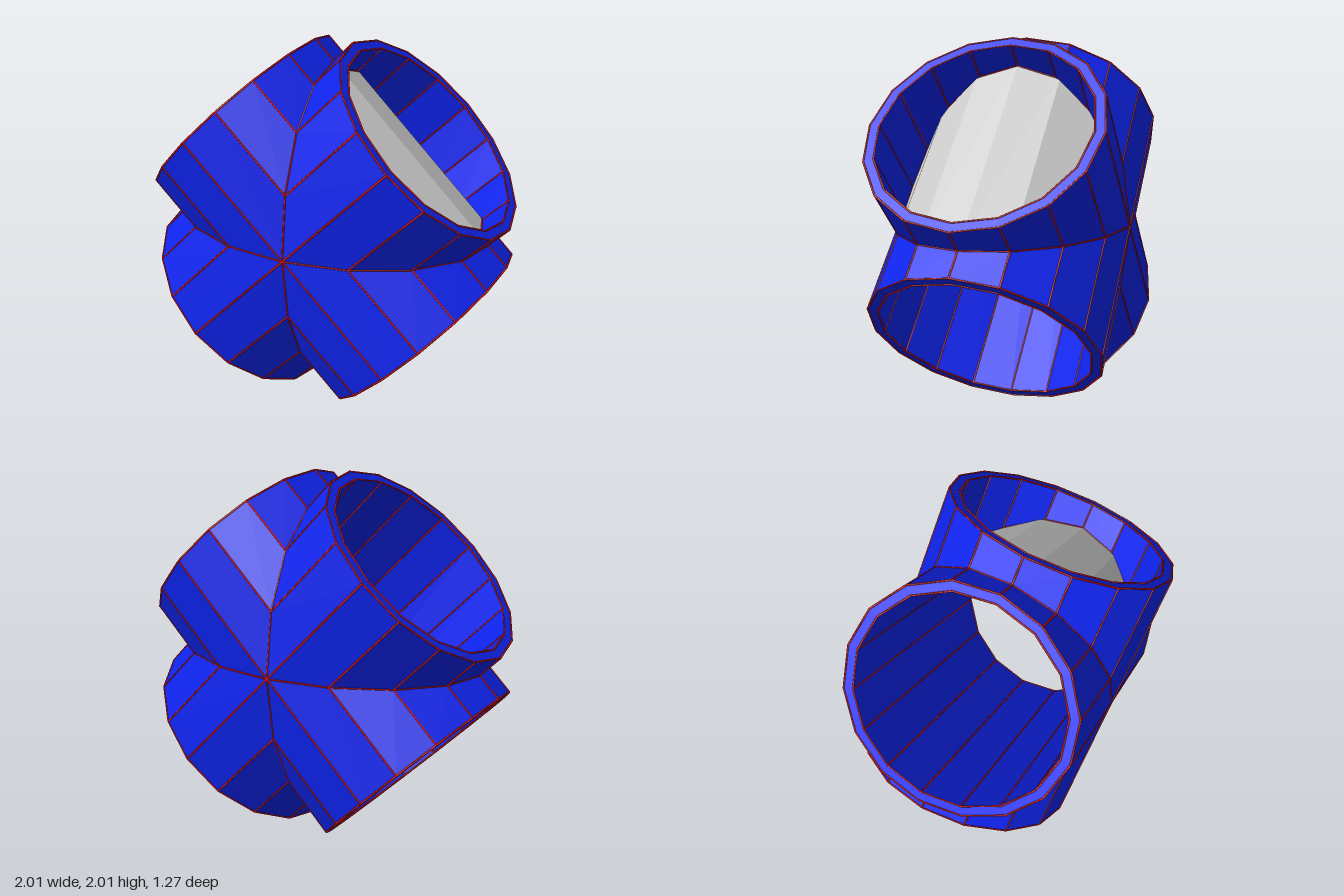
import * as THREE from 'three';
import { mergeGeometries } from 'three/addons/utils/BufferGeometryUtils.js';

const SIDES = 16, STEP = (Math.PI * 2) / SIDES;
const R = 0.63, BORE = 0.575, L = 0.784; // outer radius, bore radius, arm length
const LINE = 0.005;

const blue = new THREE.MeshStandardMaterial({ color: 0x0e23ec, flatShading: true });
const grey = new THREE.MeshStandardMaterial({ color: 0xcccccc, flatShading: true });
const red = new THREE.MeshStandardMaterial({ color: 0xdd1414 });

// point on a pipe running along x
const point = (r, i, u) => new THREE.Vector3(u, r * Math.cos(i * STEP), r * Math.sin(i * STEP));

// height of the faceted outer pipe above its axis at depth z
function pipeHeight(z) {
  const a = Math.min(Math.floor(Math.asin(Math.min(Math.abs(z) / R, 1)) / STEP), SIDES / 4 - 1);
  const z0 = R * Math.sin(a * STEP), z1 = R * Math.sin((a + 1) * STEP);
  const t = (Math.abs(z) - z0) / (z1 - z0);
  return R * THREE.MathUtils.lerp(Math.cos(a * STEP), Math.cos((a + 1) * STEP), t);
}

const mitre = i => Math.abs(R * Math.cos(i * STEP));
const saddle = i => pipeHeight(BORE * Math.sin(i * STEP));
const end = () => L;

// faceted wall whose start and end vary around the pipe
function wall(r, from, to, inward) {
  const pos = [];
  for (let i = 0; i < SIDES; i++) {
    const a = point(r, i, from(i)), b = point(r, i + 1, from(i + 1));
    const c = point(r, i + 1, to(i + 1)), d = point(r, i, to(i));
    const tris = inward ? [a, c, b, a, d, c] : [a, b, c, a, c, d];
    tris.forEach(p => pos.push(p.x, p.y, p.z));
  }
  const g = new THREE.BufferGeometry();
  g.setAttribute('position', new THREE.Float32BufferAttribute(pos, 3));
  g.computeVertexNormals();
  return g;
}

// thin rod between two points
function rod(a, b) {
  const dir = b.clone().sub(a), len = dir.length();
  const g = new THREE.CylinderGeometry(LINE, LINE, len, 4, 1, true);
  g.applyQuaternion(new THREE.Quaternion().setFromUnitVectors(new THREE.Vector3(0, 1, 0), dir.normalize()));
  return g.translate((a.x + b.x) / 2, (a.y + b.y) / 2, (a.z + b.z) / 2);
}

// lengthwise lines plus the loops at both ends of a wall
function edgeLines(r, from, to) {
  const rods = [];
  for (let i = 0; i < SIDES; i++) {
    rods.push(rod(point(r, i, from(i)), point(r, i, to(i))));
    for (const f of [from, to]) rods.push(rod(point(r, i, f(i)), point(r, i + 1, f(i + 1))));
  }
  return mergeGeometries(rods);
}

function add(parent, name, geometry, material) {
  const mesh = new THREE.Mesh(geometry, material);
  mesh.name = name;
  parent.add(mesh);
}

export function createModel() {
  const model = new THREE.Group();
  model.name = 'pipeCross';

  // four mitred arms; even ones belong to the branch pipe, odd ones to the through pipe
  for (let k = 0; k < 4; k++) {
    const arm = new THREE.Group();
    arm.name = k % 2 ? 'throughArm' : 'branchArm';
    arm.rotation.z = Math.PI / 4 + (k * Math.PI) / 2;
    arm.position.y = 1;
    add(arm, 'outerWall', wall(R, mitre, end), blue);
    add(arm, 'outerEdges', edgeLines(R, mitre, end), red);
    const rim = new THREE.RingGeometry(BORE, R, SIDES).rotateY(Math.PI / 2).translate(L, 0, 0);
    add(arm, 'rim', rim, blue);
    if (k % 2 === 0) {
      // the bore stops on the outside of the through pipe
      add(arm, 'branchBore', wall(BORE, i => saddle(i) - 0.02, end, true), blue);
      add(arm, 'boreEdges', edgeLines(BORE, saddle, end), red);
    }
    model.add(arm);
  }

  // through pipe: open bore, and the bare outside hidden within the branches
  const core = new THREE.Group();
  core.name = 'throughPipe';
  core.rotation.z = -Math.PI / 4;
  core.position.y = 1;
  add(core, 'throughBore', wall(BORE, () => -L, end, true), blue);
  add(core, 'boreEdges', edgeLines(BORE, () => -L, end), red);
  add(core, 'bareSaddle', wall(R, i => -mitre(i), mitre), grey);
  model.add(core);

  return model;
}
